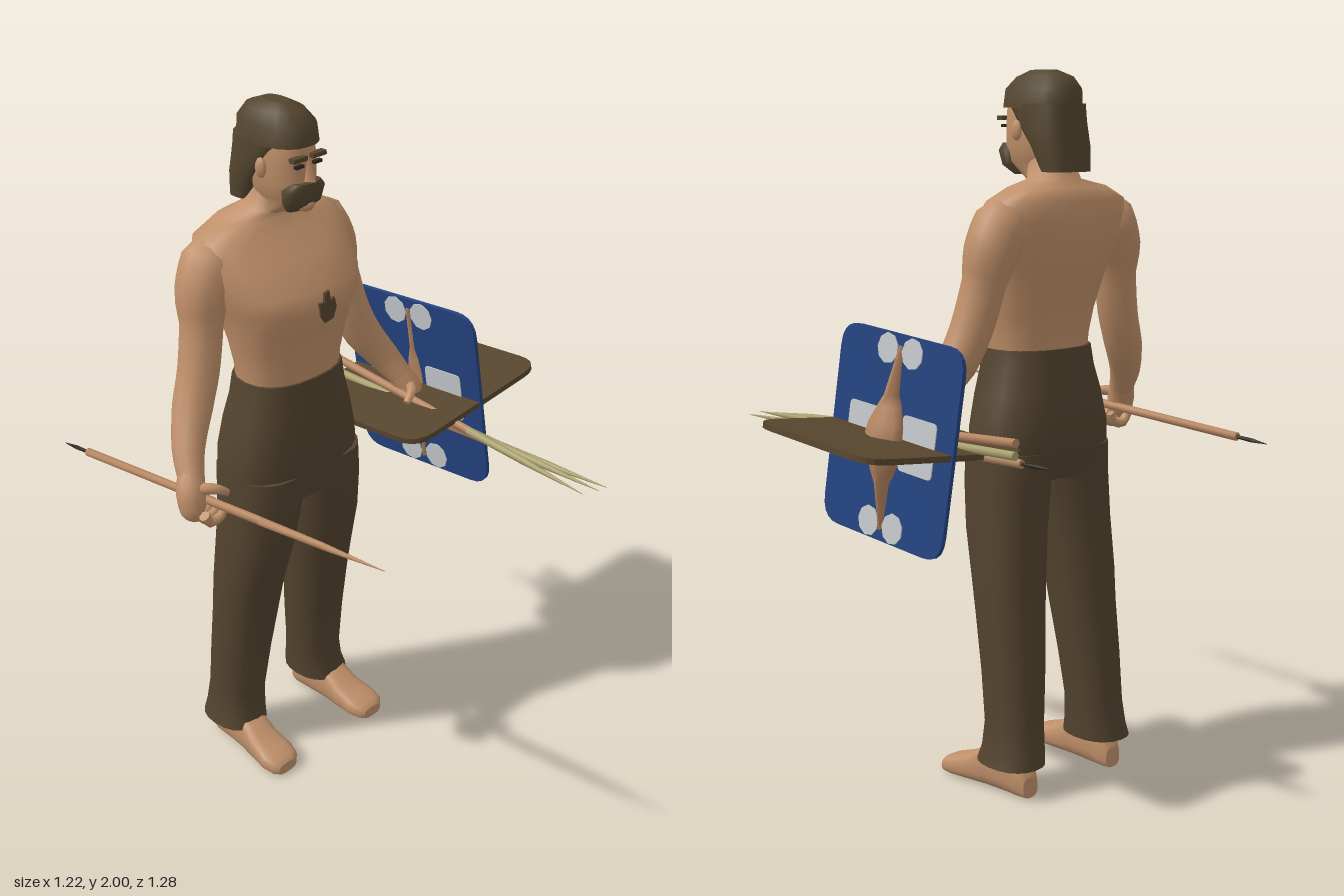
import * as THREE from 'three';

const CX = -0.15; // body centre line
const mat = (name, color) => {
  const m = new THREE.MeshStandardMaterial({ color });
  m.name = name;
  return m;
};

// Closed skin over a list of rings; winding is fixed by the signed volume
function loft(rings) {
  const n = rings[0].length, pos = [], idx = [];
  const mid = r => r.reduce((a, p) => a.add(p), new THREE.Vector3()).divideScalar(n);
  rings.forEach(r => r.forEach(p => pos.push(p.x, p.y, p.z)));
  for (let i = 0; i < rings.length - 1; i++) for (let j = 0; j < n; j++) {
    const a = i * n + j, b = i * n + (j + 1) % n;
    idx.push(a, a + n, b, b, a + n, b + n);
  }
  [0, rings.length - 1].forEach(k => {
    const base = pos.length / 3, c = mid(rings[k]);
    rings[k].forEach(p => pos.push(p.x, p.y, p.z));
    pos.push(c.x, c.y, c.z);
    for (let j = 0; j < n; j++) {
      const a = base + j, b = base + (j + 1) % n;
      if (k === 0) idx.push(base + n, a, b); else idx.push(base + n, b, a);
    }
  });
  const P = i => new THREE.Vector3(pos[3 * i], pos[3 * i + 1], pos[3 * i + 2]);
  let vol = 0;
  for (let i = 0; i < idx.length; i += 3) vol += P(idx[i]).dot(P(idx[i + 1]).cross(P(idx[i + 2])));
  if (vol < 0) idx.reverse();
  const g = new THREE.BufferGeometry();
  g.setAttribute('position', new THREE.Float32BufferAttribute(pos, 3));
  g.setIndex(idx);
  g.computeVertexNormals();
  return g;
}

// Stacked superellipses, each row: y, centre x, half width, front z, back z
function stack(rows, power = 2.4, n = 20) {
  const e = v => Math.sign(v) * Math.abs(v) ** (2 / power);
  return loft(rows.map(([y, cx, hx, zf, zb]) => Array.from({ length: n }, (_, j) => {
    const t = j / n * Math.PI * 2;
    return new THREE.Vector3(cx + hx * e(Math.cos(t)), y, (zf + zb) / 2 + (zf - zb) / 2 * e(Math.sin(t)));
  })));
}
const centred = rows => rows.map(([y, hx, zf, zb]) => [y, CX, hx, zf, zb]);

// Limb of changing radius, each row: x, y, z, radius
function limb(rows, n = 12, steps = 3) {
  const curve = new THREE.CatmullRomCurve3(rows.map(r => new THREE.Vector3(r[0], r[1], r[2])));
  const k = (rows.length - 1) * steps, rings = [];
  let side = null;
  for (let i = 0; i <= k; i++) {
    const t = i / k, f = Math.min(Math.floor(i / steps), rows.length - 2), w = i / steps - f;
    const p = curve.getPoint(t), d = curve.getTangent(t);
    side = (side || new THREE.Vector3(0.3, 0.2, 1)).clone().addScaledVector(d, -(side || new THREE.Vector3(0.3, 0.2, 1)).dot(d)).normalize();
    const up = d.clone().cross(side), r = THREE.MathUtils.lerp(rows[f][3], rows[f + 1][3], w);
    rings.push(Array.from({ length: n }, (_, j) => {
      const a = j / n * Math.PI * 2;
      return p.clone().addScaledVector(side, r * Math.cos(a)).addScaledVector(up, r * Math.sin(a));
    }));
  }
  return loft(rings);
}

// Rounded plate centred in XY
function plate(w, h, r, t) {
  const s = new THREE.Shape(), x = w / 2, y = h / 2;
  s.moveTo(-x + r, -y);
  s.lineTo(x - r, -y).quadraticCurveTo(x, -y, x, -y + r);
  s.lineTo(x, y - r).quadraticCurveTo(x, y, x - r, y);
  s.lineTo(-x + r, y).quadraticCurveTo(-x, y, -x, y - r);
  s.lineTo(-x, -y + r).quadraticCurveTo(-x, -y, -x + r, -y);
  return new THREE.ExtrudeGeometry(s, { depth: t, bevelEnabled: false, curveSegments: 5 }).translate(0, 0, -t / 2);
}

export function createModel() {
  const root = new THREE.Group();
  root.name = 'warrior';
  const skin = mat('skin', 0xc0906a), cloth = mat('trouser brown', 0x52432e), hair = mat('hair brown', 0x54462f);
  const blue = mat('shield blue', 0x24437f), white = mat('shield white', 0xc6c9cc), board = mat('board brown', 0x58462e);
  const wood = mat('wood', 0xb58560), khaki = mat('pale wood', 0xa89f6c), dark = mat('dark metal', 0x2c261e);
  const add = (name, g, m, parent = root) => {
    const mesh = new THREE.Mesh(g, m);
    mesh.name = name;
    parent.add(mesh);
    return mesh;
  };

  // Torso and neck
  add('torso', stack(centred([[1.22, 0.155, -0.045, -0.262], [1.28, 0.16, -0.04, -0.265], [1.35, 0.175, -0.028, -0.275],
    [1.42, 0.19, -0.008, -0.30], [1.47, 0.205, 0.006, -0.315], [1.52, 0.225, -0.005, -0.328], [1.6, 0.24, -0.07, -0.335],
    [1.655, 0.235, -0.12, -0.33], [1.69, 0.165, -0.145, -0.31], [1.71, 0.075, -0.15, -0.28], [1.78, 0.055, -0.145, -0.25]])), skin);
  const tuft = new THREE.Shape([[-0.01, -0.045], [0.02, -0.04], [0.032, -0.01], [0.025, 0.02], [0.01, 0.015], [0.005, 0.045],
    [-0.01, 0.04], [-0.012, 0.015], [-0.03, 0.015], [-0.025, -0.02]].map(p => new THREE.Vector2(...p)));
  add('chestHair', new THREE.ExtrudeGeometry(tuft, { depth: 0.008, bevelEnabled: false }), hair).position.set(CX, 1.475, 0.001);

  // Trousers
  add('trouserSeat', stack(centred([[0.89, 0.222, -0.035, -0.28], [0.96, 0.224, -0.025, -0.3], [1.03, 0.217, -0.022, -0.305],
    [1.12, 0.195, -0.025, -0.295], [1.19, 0.174, -0.032, -0.28], [1.25, 0.164, -0.036, -0.272]])), cloth);

  for (const s of [-1, 1]) {
    const tag = s > 0 ? 'left' : 'right', X = u => CX + s * u;
    // Legs: height, inner and outer offset, front, back
    add(tag + 'TrouserLeg', stack([[0.09, 0.09, 0.256, -0.14, -0.342], [0.13, 0.088, 0.244, -0.15, -0.335], [0.2, 0.085, 0.236, -0.155, -0.325],
      [0.35, 0.068, 0.235, -0.135, -0.315], [0.5, 0.05, 0.236, -0.11, -0.3], [0.6, 0.042, 0.236, -0.09, -0.295], [0.75, 0.022, 0.231, -0.052, -0.285],
      [0.88, 0.003, 0.226, -0.036, -0.282], [0.97, -0.02, 0.22, -0.03, -0.29]]
      .map(([y, a, b, f, k]) => [y, X((a + b) / 2), (b - a) / 2, f, k]), 2.3), cloth);
    // Foot lofted from heel to toe, then laid flat
    add(tag + 'Foot', stack([[-0.315, 0.168, 0.028, 0, -0.06], [-0.29, 0.168, 0.043, 0, -0.11], [-0.24, 0.17, 0.048, 0, -0.15], [-0.17, 0.174, 0.05, 0, -0.13],
      [-0.11, 0.178, 0.054, 0, -0.085], [-0.05, 0.182, 0.06, 0, -0.062], [-0.015, 0.184, 0.052, 0, -0.05], [0, 0.184, 0.035, 0, -0.035]]
      .map(([y, u, w, f, k]) => [y, X(u), w, f, k]), 2.8).rotateX(Math.PI / 2), skin);
    // Arm and gripping hand
    const path = rows => rows.map(([u, ...r]) => [X(u), ...r]);
    add(tag + 'Arm', limb(path([[0.15, 1.63, -0.23, 0.05], [0.2, 1.59, -0.225, 0.082], [0.238, 1.52, -0.22, 0.075], [0.254, 1.44, -0.21, 0.06],
      [0.285, 1.32, -0.195, 0.058], [0.325, 1.23, -0.18, 0.056], [0.38, 1.14, -0.14, 0.045], [0.41, 1.08, -0.1, 0.036]])), skin);
    const hand = new THREE.Group();
    hand.name = tag + 'Hand';
    root.add(hand);
    add('palm', limb(path([[0.405, 1.09, -0.105, 0.036], [0.425, 1.045, -0.085, 0.04], [0.428, 1.0, -0.075, 0.036], [0.418, 0.975, -0.07, 0.02]])), skin, hand);
    for (let i = 0; i < 4; i++) {
      const z = -0.03 - i * 0.026;
      add('finger', limb(path([[0.43, 1.0, z, 0.015], [0.41, 0.972, z, 0.015], [0.372, 0.976, z, 0.013], [0.355, 1.005, z, 0.011]]), 8, 2), skin, hand);
    }
    add('thumb', limb(path([[0.415, 1.06, -0.07, 0.017], [0.385, 1.062, -0.035, 0.015], [0.35, 1.04, -0.025, 0.01]]), 8, 2), skin, hand);
    // Paired face parts
    add(tag + 'Brow', new THREE.BoxGeometry(0.048, 0.012, 0.02), hair).position.set(X(0.034), 1.872, -0.058);
    add(tag + 'Eye', new THREE.BoxGeometry(0.028, 0.008, 0.012), dark).position.set(X(0.032), 1.852, -0.058);
    add(tag + 'Ear', new THREE.SphereGeometry(1, 8, 6).scale(0.012, 0.028, 0.018), skin).position.set(X(0.08), 1.84, -0.15);
  }

  // Head
  add('head', stack(centred([[1.70, 0.055, -0.15, -0.24], [1.728, 0.042, -0.095, -0.24], [1.755, 0.06, -0.062, -0.25], [1.8, 0.071, -0.056, -0.27],
    [1.86, 0.076, -0.06, -0.275], [1.93, 0.07, -0.062, -0.27], [1.97, 0.05, -0.09, -0.25]])), skin);
  add('nose', new THREE.ConeGeometry(0.022, 0.065, 4).scale(0.8, 1, 1.1), skin).position.set(CX, 1.842, -0.053);
  add('hairCap', stack(centred([[1.9, 0.084, -0.05, -0.287], [1.95, 0.079, -0.056, -0.286], [1.982, 0.058, -0.09, -0.262], [2, 0.025, -0.13, -0.215]])), hair);
  add('longHair', stack(centred([[1.73, 0.072, -0.215, -0.305], [1.8, 0.084, -0.18, -0.297], [1.85, 0.086, -0.135, -0.29], [1.91, 0.084, -0.085, -0.287]]), 3), hair);
  add('moustache', stack(centred([[1.72, 0.035, -0.085, -0.12], [1.745, 0.058, -0.05, -0.118], [1.785, 0.066, -0.04, -0.115], [1.805, 0.045, -0.042, -0.09]])), hair);
  add('chin', new THREE.SphereGeometry(1, 10, 8).scale(0.026, 0.02, 0.025), skin).position.set(CX, 1.742, -0.07);

  // Crossed shield: upright painted panel and level board
  const shield = new THREE.Group();
  shield.name = 'shield';
  shield.position.set(0.328, 1.035, -0.095);
  shield.rotation.set(-0.07, 0, 0.1);
  root.add(shield);
  add('uprightPanel', plate(0.5, 0.56, 0.07, 0.012).rotateY(Math.PI / 2), blue, shield);
  add('levelBoard', plate(0.555, 0.49, 0.075, 0.016).rotateX(Math.PI / 2), board, shield);
  for (const s of [-1, 1]) {
    add('sidePatch', plate(0.135, 0.15, 0.015, 0.018).rotateY(Math.PI / 2), white, shield).position.set(0, 0, s * 0.112);
    for (const v of [-1, 1])
      add('endPatch', new THREE.CylinderGeometry(0.042, 0.042, 0.018, 9).rotateZ(Math.PI / 2), white, shield).position.set(0, v * 0.236, s * 0.05);
  }
  add('shieldSpine', stack([[-0.25, 0.012, 0.008], [-0.12, 0.045, 0.018], [-0.09, 0.055, 0.04], [-0.04, 0.07, 0.064], [0, 0.078, 0.07],
    [0.04, 0.07, 0.064], [0.09, 0.055, 0.04], [0.12, 0.045, 0.018], [0.25, 0.012, 0.008]]
    .map(([y, d, w]) => [y, (d - 0.014) / 2, (d + 0.014) / 2, w, -w]), 1.5, 12), wood, shield);

  // Javelins from butt to tip, colour changing part way along
  const javelin = (name, butt, tip, rear, front, tail) => {
    const g = new THREE.Group(), a = new THREE.Vector3(...butt), b = new THREE.Vector3(...tip);
    g.name = name;
    root.add(g);
    const rod = (n, t0, t1, r0, r1, m) => {
      const p = a.clone().lerp(b, t0), q = a.clone().lerp(b, t1);
      add(n, limb([[...p, r0], [...q, r1]], 8, 1), m, g);
    };
    rod('shaft', 0, 0.62, 0.0125, 0.0125, rear);
    rod('foreShaft', 0.62, 0.82, 0.0125, 0.01, front);
    rod('point', 0.82, 1, 0.01, 0.001, front);
    if (tail) {
      rod('tailPin', -0.045, 0, 0.006, 0.005, dark);
      rod('tailSpike', -0.09, -0.045, 0.001, 0.006, dark);
    }
  };
  javelin('rightJavelin', [-0.566, 0.988, -0.54], [-0.513, 1.065, 0.555], wood, wood, true);
  javelin('bundleJavelinA', [0.25, 1.07, -0.49], [0.205, 0.995, 0.615], wood, khaki, false);
  javelin('bundleJavelinB', [0.228, 1.03, -0.465], [0.242, 1.0, 0.64], khaki, khaki, false);
  javelin('bundleJavelinC', [0.2, 1.005, -0.46], [0.278, 0.995, 0.64], wood, khaki, true);
  return root;
}
